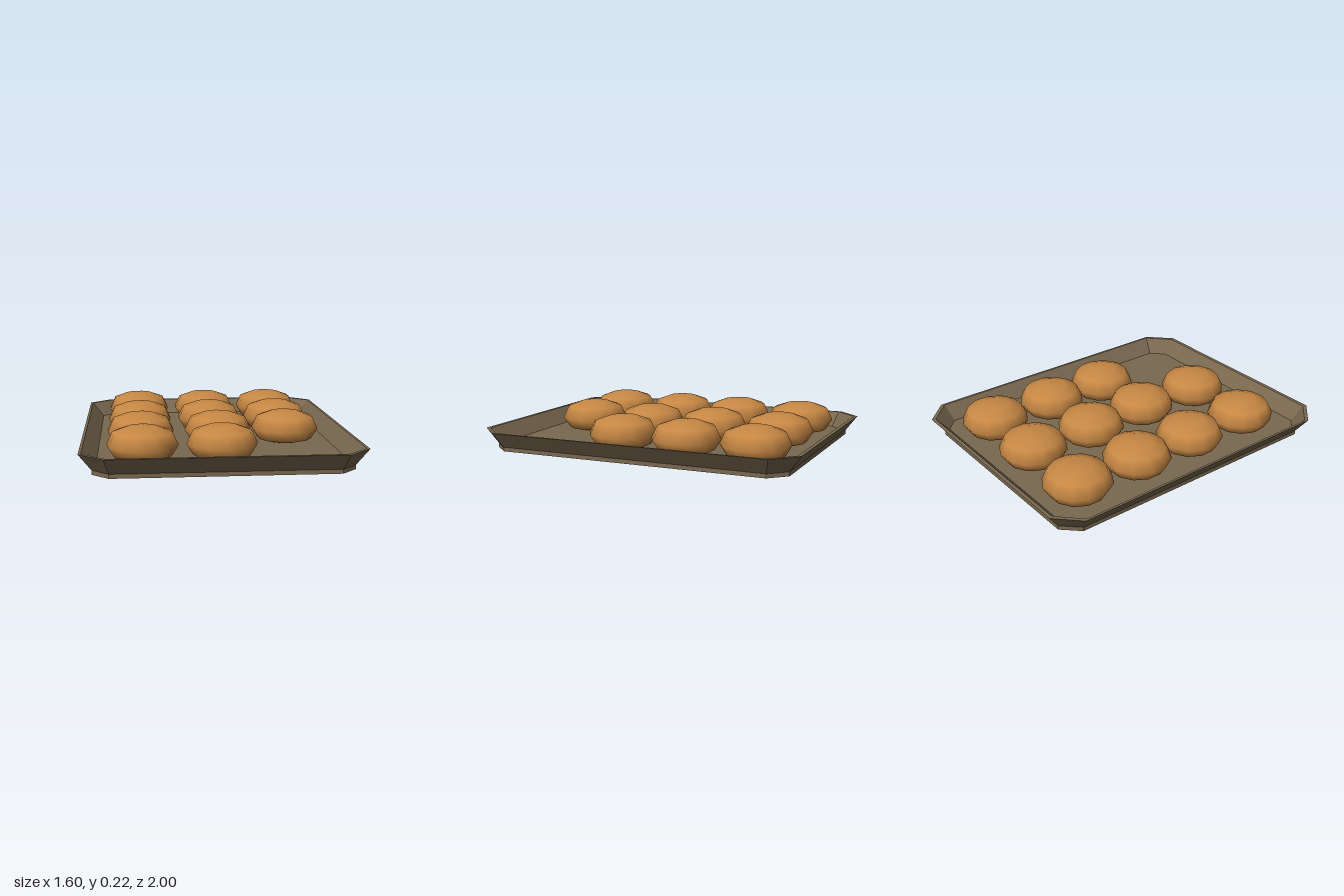
import * as THREE from 'three';

// Chamfered rectangle, counter-clockwise seen from above.
// x, z: half sizes; cx, cz: where the straight edges end.
function ring(x, z, cx, cz, y) {
  return [[x, cz], [x, -cz], [cx, -z], [-cx, -z], [-x, -cz], [-x, cz], [-cx, z], [cx, z]]
    .map(([px, pz]) => [px, y, pz]);
}

// Joins rings from the outer bottom over the rim to the inner floor, closing both ends.
function loft(rings) {
  const pos = [];
  const tri = (a, b, c) => pos.push(...a, ...b, ...c);
  const n = rings[0].length;
  for (let r = 0; r < rings.length - 1; r++) {
    const a = rings[r], b = rings[r + 1];
    for (let i = 0; i < n; i++) {
      const j = (i + 1) % n;
      tri(a[i], a[j], b[j]);
      tri(a[i], b[j], b[i]);
    }
  }
  const first = rings[0], last = rings[rings.length - 1];
  for (let i = 1; i < n - 1; i++) {
    tri(first[0], first[i + 1], first[i]);
    tri(last[0], last[i], last[i + 1]);
  }
  const geo = new THREE.BufferGeometry();
  geo.setAttribute('position', new THREE.Float32BufferAttribute(pos, 3));
  geo.computeVertexNormals();
  return geo;
}

export function createModel() {
  const model = new THREE.Group();
  model.name = 'trayOfBuns';

  const trayMaterial = new THREE.MeshStandardMaterial({ color: 0x796850 });
  trayMaterial.name = 'trayBrown';
  const bunMaterial = new THREE.MeshStandardMaterial({ color: 0xc68744 });
  bunMaterial.name = 'bakedCrust';

  // Tray: upright foot, flared wall, narrow rim, sloped inside and floor
  const tray = new THREE.Mesh(loft([
    ring(0.73, 0.93, 0.635, 0.83, 0),
    ring(0.73, 0.93, 0.635, 0.83, 0.025),
    ring(0.80, 1.00, 0.66, 0.86, 0.12),
    ring(0.785, 0.977, 0.65, 0.845, 0.12),
    ring(0.71, 0.90, 0.63, 0.82, 0.03),
  ]), trayMaterial);
  tray.name = 'tray';
  model.add(tray);

  // Buns: squashed twelve-sided domes with smooth normals
  const profile = [[0, 0.026], [0.085, 0.03], [0.168, 0.052], [0.207, 0.115],
    [0.172, 0.188], [0.09, 0.218], [0, 0.222]].map(([r, y]) => new THREE.Vector2(r, y));
  const bunGeometry = new THREE.LatheGeometry(profile, 12);

  // x, z, turn in degrees; the front right place is empty
  const places = [];
  for (const z of [-0.67, -0.243, 0.168])
    for (const x of [-0.455, 0, 0.438])
      places.push(x === 0 && z > 0 ? [0.02, 0.175, 5] : [x, z, 15]);
  places.push([-0.45, 0.603, 22], [0.005, 0.603, 3]);

  const buns = new THREE.Group();
  buns.name = 'buns';
  places.forEach(([x, z, turn], i) => {
    const bun = new THREE.Mesh(bunGeometry, bunMaterial);
    bun.name = `bun${i + 1}`;
    bun.position.set(x, 0, z);
    bun.rotation.y = THREE.MathUtils.degToRad(turn);
    buns.add(bun);
  });
  model.add(buns);

  return model;
}
